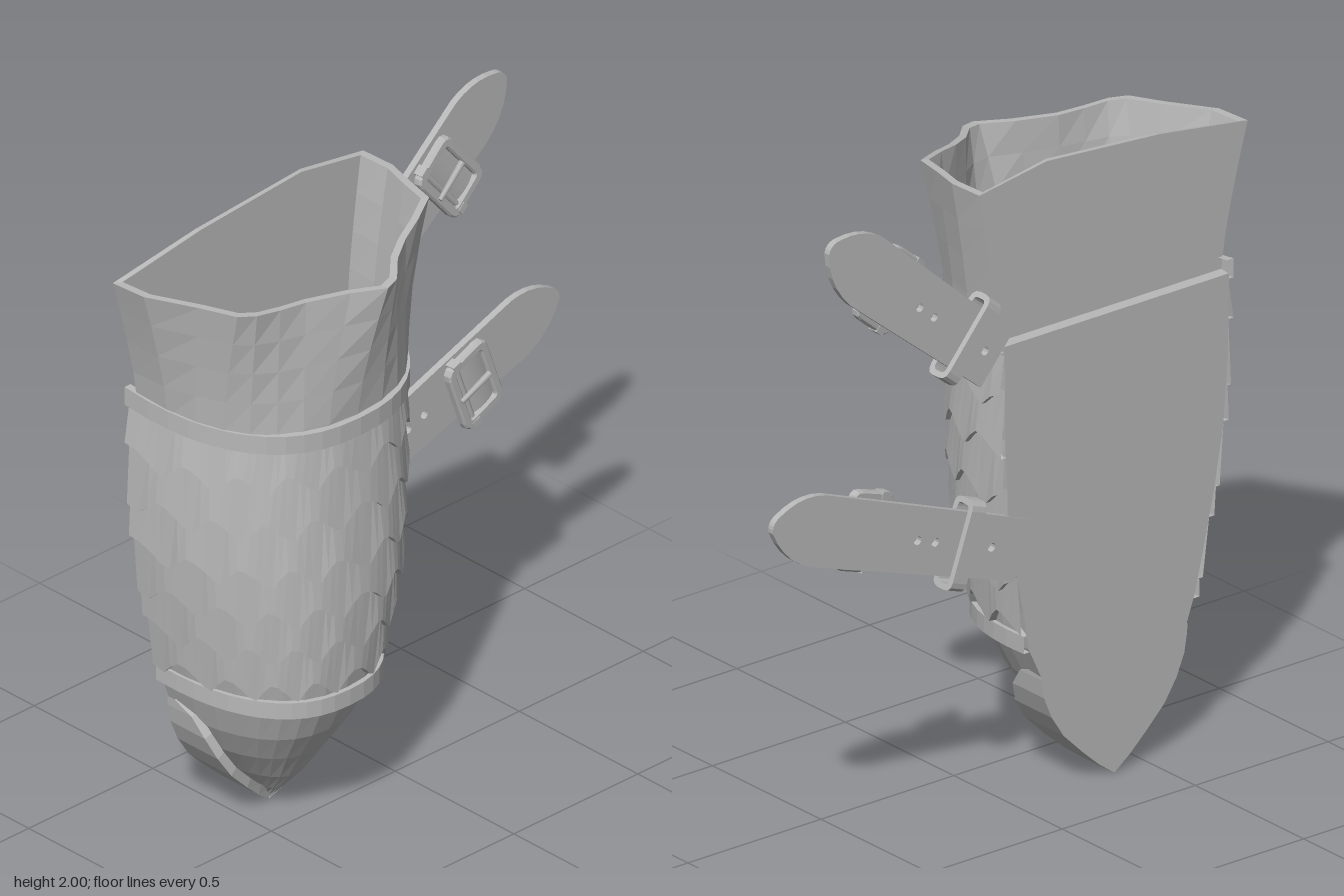
import * as THREE from 'three';

const grey = new THREE.MeshStandardMaterial({ color: 0xb8b8b8, side: THREE.DoubleSide });
grey.name = 'plain grey';

const clamp = (v) => Math.min(1, Math.max(0, v));
const lerp = THREE.MathUtils.lerp;

function mesh(name, geometry, parent) {
  const m = new THREE.Mesh(geometry, grey);
  m.name = name;
  parent.add(m);
  return m;
}

// Flat-shaded skin over rows of points; rows run from top to bottom
function loft(rows, closed) {
  const out = [];
  const n = rows[0].length;
  for (let r = 0; r < rows.length - 1; r++) {
    for (let i = 0; i < (closed ? n : n - 1); i++) {
      const j = (i + 1) % n;
      const a = rows[r][i], b = rows[r][j], c = rows[r + 1][j], d = rows[r + 1][i];
      out.push(...a, ...b, ...c, ...a, ...c, ...d);
    }
  }
  const g = new THREE.BufferGeometry();
  g.setAttribute('position', new THREE.Float32BufferAttribute(out, 3));
  g.computeVertexNormals();
  return g;
}

// Sheath outline by height: y, left x, right x, front z
const PROFILE = [
  [1.6, -0.81, 0.05, 0.25], [1.4, -0.81, 0.04, 0.24], [1.2, -0.805, 0.04, 0.24],
  [1.0, -0.79, 0.03, 0.24], [0.8, -0.755, 0.01, 0.23], [0.6, -0.71, -0.03, 0.2],
  [0.48, -0.68, -0.05, 0.178], [0.34, -0.63, -0.115, 0.115], [0.24, -0.575, -0.175, 0.05],
  [0.135, -0.495, -0.255, -0.02], [0.06, -0.425, -0.325, -0.085], [0.01, -0.378, -0.372, -0.13],
];
const BACK = -0.28, COLLAR_BACK = -0.24, STEP = 1.47, N = 16;

function profileAt(y) {
  let k = 0;
  while (k < PROFILE.length - 2 && PROFILE[k + 1][0] > y) k++;
  const a = PROFILE[k], b = PROFILE[k + 1];
  const f = clamp((y - a[0]) / (b[0] - a[0]));
  return a.map((v, i) => lerp(v, b[i], f));
}

// Point on the D-shaped cross-section: t = 0 right edge, PI left edge
function onSheath(t, y, off = 0, back = BACK) {
  const [, l, r, zf] = profileAt(y);
  const c = Math.cos(t), hx = Math.max(0.001, (r - l) / 2 + off);
  const x = (l + r) / 2 + hx * Math.sign(c) * Math.abs(c) ** 0.85;
  return [x, y, back + (zf + off - back) * Math.max(0, Math.sin(t)) ** 0.85];
}
const arc = (n, fn) => Array.from({ length: n + 1 }, (_, i) => fn(Math.PI * i / n, i));

// Closed section with two extra points along the flat back
function closeBack(row) {
  const a = row[row.length - 1], b = row[0];
  return [...row, ...[0.33, 0.75].map((f) => a.map((v, i) => lerp(v, b[i], f)))];
}
const section = (y, off, back) => closeBack(arc(N, (t) => onSheath(t, y, off, back)));

// Flared, folded mouth outline (x, z) from right to left
const RIM = [
  [0.1, -0.24], [0.105, -0.12], [0.08, -0.02], [0.06, 0.08], [-0.03, 0.13], [-0.12, 0.17],
  [-0.2, 0.22], [-0.27, 0.29], [-0.32, 0.305], [-0.42, 0.25], [-0.55, 0.2], [-0.64, 0.185],
  [-0.72, 0.17], [-0.77, 0.14], [-0.82, 0.03], [-0.9, -0.12], [-0.91, -0.24],
];
function rimRow(w, inset) {
  const row = closeBack(RIM.map(([x, z], i) => {
    const s = onSheath(Math.PI * i / N, STEP, 0, COLLAR_BACK);
    const k = w ** 1.3;
    const top = 1.89 + 0.065 * clamp((x + 0.3) / 0.4) + 0.025 * clamp((-x - 0.6) / 0.3);
    return [lerp(s[0], x, k), lerp(STEP, top, w), lerp(s[2], z, k)];
  }));
  row[N + 1][1] += 0.035 * w;
  row[N + 2][1] += 0.05 * w;
  return inset ? row.map(([x, y, z]) =>
    [-0.39 + (x + 0.39) * 0.95, y, z < -0.2 ? z + 0.015 : z * 0.93 - 0.005]) : row;
}

function addSheath(parent) {
  const steps = [0, 0.25, 0.5, 0.75, 1];
  const lining = [0.06, 0.2, 0.34, 0.48, 0.8, 1.2].map((y) => section(y, -0.03, -0.225));
  mesh('collar', loft([...lining, ...steps.map((w) => rimRow(w, true)),
    ...steps.slice().reverse().map((w) => rimRow(w, false))], true), parent);

  const heights = [STEP, ...PROFILE.slice(1).map((p) => p[0])];
  mesh('sheathBody', loft([rimRow(0, false), ...heights.map((y) => section(y, -0.004))], true), parent);

  // Overlapping rows of pointed scales
  const edges = [1.29, 1.13, 0.97, 0.82, 0.68, 0.545];
  const count = 9, wave = [0.035, 0.01, -0.025, -0.015, 0.01, 0.03];
  edges.forEach((edge, r) => {
    const top = r ? edges[r - 1] + 0.04 : 1.44;
    const n = count * wave.length;
    const low = (i) => edge + wave[(i + (r % 2) * 3) % wave.length];
    mesh('scaleRow' + (r + 1), loft([
      arc(n, (t) => onSheath(t, top, -0.004)),
      arc(n, (t, i) => onSheath(t, low(i), 0.016)),
      arc(n, (t, i) => onSheath(t, low(i), -0.006)),
    ], false), parent);
  });

  // Raised bands, tilted a little towards the back
  for (const [name, y0, slope, h] of [['upperBand', 1.455, 0.1, 0.03], ['lowerBand', 0.488, 0.04, 0.027]]) {
    const row = (dy, off) => arc(24, (t) => {
      const p = onSheath(t, y0, off);
      return [p[0], y0 + dy - slope * p[2], p[2]];
    });
    mesh(name, loft([row(h, -0.01), row(h, 0.014), row(-h, 0.014), row(-h, -0.01)], false), parent);
  }

  // Pointed guard round the tip: half width, y, front z
  const half = [[0.276, 0.4, -0.25], [0.274, 0.37, -0.18], [0.264, 0.31, -0.135], [0.235, 0.24, -0.11],
    [0.19, 0.17, -0.1], [0.12, 0.1, -0.105], [0.06, 0.045, -0.12]];
  const path = [...half, [0, 0, -0.14], ...half.slice().reverse().map(([x, y, z]) => [-x, y, z])];
  const guardRow = (inset, front) => path.map(([x, y, z]) =>
    [-0.375 + x * (1 - inset * 3.5), y + inset * 1.2 * (1 - y / 0.4), front ? z : BACK]);
  mesh('tipGuard', loft([guardRow(0.03, false), guardRow(0.03, true), guardRow(0, true),
    guardRow(0, false)], false), parent);
  mesh('tipGuardBack', loft([guardRow(0, false), path.map(() => [-0.375, 0.4, BACK])], false), parent);
}

function roundedRect(w, h, r, Type = THREE.Shape) {
  const s = new Type();
  const x = w / 2, y = h / 2;
  s.moveTo(-x + r, -y).lineTo(x - r, -y).quadraticCurveTo(x, -y, x, -y + r);
  s.lineTo(x, y - r).quadraticCurveTo(x, y, x - r, y).lineTo(-x + r, y);
  s.quadraticCurveTo(-x, y, -x, y - r).lineTo(-x, -y + r).quadraticCurveTo(-x, -y, -x + r, -y);
  return s;
}
function frame(w, h, rim, depth, bevel) {
  const s = roundedRect(w, h, 0.03);
  s.holes.push(roundedRect(w - 2 * rim, h - 2 * rim, 0.015, THREE.Path));
  return new THREE.ExtrudeGeometry(s, { depth, curveSegments: 3, bevelEnabled: bevel > 0,
    bevelSize: bevel, bevelThickness: bevel, bevelSegments: 1 }).translate(0, 0, -depth / 2);
}

// Strap along local +x, with its centreline on y = 0
function addStrap(parent, name, x, y, angle, length, loopAt, buckleAt, holes) {
  const g = new THREE.Group();
  g.name = name;
  g.position.set(x, y, -0.27);
  g.rotation.z = angle;
  parent.add(g);

  const s = new THREE.Shape();
  s.moveTo(0, -0.095).lineTo(length - 0.19, -0.108);
  s.quadraticCurveTo(length - 0.08, -0.1, length - 0.01, -0.02);
  s.quadraticCurveTo(length + 0.005, 0.01, length - 0.02, 0.035);
  s.quadraticCurveTo(length - 0.08, 0.105, length - 0.17, 0.112);
  s.lineTo(0, 0.095);
  for (const u of holes) s.holes.push(new THREE.Path().absarc(u, 0, 0.014, 0, Math.PI * 2));
  mesh('strapLeather', new THREE.ExtrudeGeometry(s,
    { depth: 0.022, bevelEnabled: false, curveSegments: 5 }).translate(0, 0, -0.012), g);

  // Keeper loop wrapped round the strap
  const loop = mesh('keeperLoop', frame(0.085, 0.28, 0.018, 0.055, 0), g);
  loop.rotation.y = Math.PI / 2;
  loop.position.x = loopAt;

  // Buckle: frame, bar, curved plate and prong
  const b = new THREE.Group();
  b.name = 'buckle';
  b.position.set(buckleAt, 0, 0.048);
  b.rotation.y = 0.08;
  g.add(b);
  mesh('buckleFrame', frame(0.165, 0.235, 0.02, 0.018, 0.006), b);
  const bar = mesh('buckleBar', new THREE.CylinderGeometry(0.011, 0.011, 0.23, 8), b);
  bar.position.x = -0.045;
  const plate = mesh('bucklePlate', new THREE.CylinderGeometry(0.075, 0.075, 0.18, 8, 1, true,
    -Math.PI / 3, Math.PI * 2 / 3), b);
  plate.position.set(0.01, 0, -0.03);
  plate.scale.z = 0.5;
  const prong = mesh('prong', new THREE.CylinderGeometry(0.008, 0.011, 0.13, 6), b);
  prong.rotation.z = Math.PI / 2;
  prong.position.set(-0.01, 0, 0.018);
  for (const side of [-1, 1]) {
    const knob = mesh('barEnd', new THREE.BoxGeometry(0.032, 0.022, 0.034), b);
    knob.position.set(-0.045, side * 0.115, 0);
  }
}

export function createModel() {
  const model = new THREE.Group();
  model.name = 'sheath';
  addSheath(model);
  addStrap(model, 'upperStrap', 0.067, 1.44, 0.7, 0.82, 0.145, 0.47, [0.06, 0.31, 0.38]);
  addStrap(model, 'lowerStrap', -0.03, 0.805, 0.34, 1.0, 0.24, 0.59, [0.125, 0.35, 0.42]);
  return model;
}
